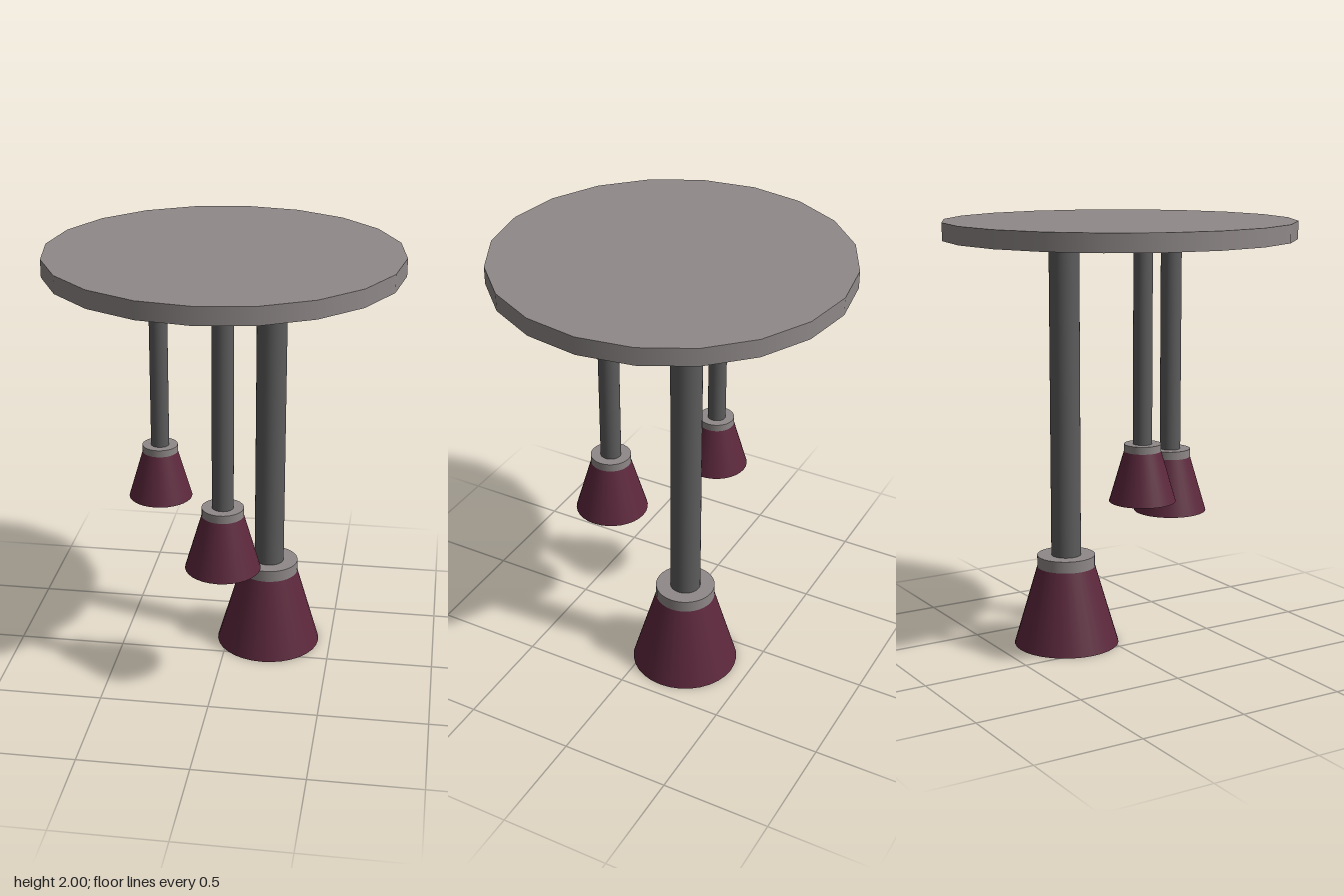
import * as THREE from 'three';
import { toCreasedNormals } from 'three/addons/utils/BufferGeometryUtils.js';

const metal = new THREE.MeshStandardMaterial({ color: 0x8f8888 });
const dark = new THREE.MeshStandardMaterial({ color: 0x5c5c5c });
const maroon = new THREE.MeshStandardMaterial({ color: 0x5c283c });

const CEILING = 1.92; // underside of the canopy
const SIDES = 32;

function part(name, geometry, material, y) {
  const mesh = new THREE.Mesh(geometry, material);
  mesh.name = name;
  mesh.position.y = y;
  return mesh;
}

// One hanging lamp: s scales the shade, collar and rod together
function pendant(name, x, z, bottom, s) {
  const lamp = new THREE.Group();
  lamp.name = name;
  lamp.position.set(x, 0, z);

  // Hollow tapered shade: inner wall down, rim, outer wall up
  const profile = [[0.112, 0.375], [0.222, 0], [0.247, 0], [0.137, 0.375]]
    .map(([r, y]) => new THREE.Vector2(r * s, y * s));
  const shade = toCreasedNormals(new THREE.LatheGeometry(profile, SIDES), 0.6);
  lamp.add(part('shade', shade, maroon, bottom));

  // Collar closing the top of the shade
  const collarH = 0.055 * s;
  const collarY = bottom + 0.375 * s;
  const collar = new THREE.CylinderGeometry(0.137 * s, 0.137 * s, collarH, SIDES);
  lamp.add(part('collar', collar, metal, collarY + collarH / 2));

  // Rod up to the canopy
  const rodBottom = collarY + collarH;
  const rodH = CEILING - rodBottom;
  const rod = new THREE.CylinderGeometry(0.07 * s, 0.07 * s, rodH, SIDES);
  lamp.add(part('rod', rod, dark, rodBottom + rodH / 2));
  return lamp;
}

export function createModel() {
  const model = new THREE.Group();
  model.name = 'pendantLamp';

  // Twenty-sided ceiling canopy
  const canopy = new THREE.CylinderGeometry(0.795, 0.795, 2 - CEILING, 20);
  model.add(part('canopy', canopy, metal, (2 + CEILING) / 2));

  model.add(pendant('largePendant', 0.195, -0.175, 0, 1));
  model.add(pendant('mediumPendant', 0.04, 0.305, 0.62, 0.69));
  model.add(pendant('smallPendant', -0.31, -0.07, 0.785, 0.6));
  return model;
}
